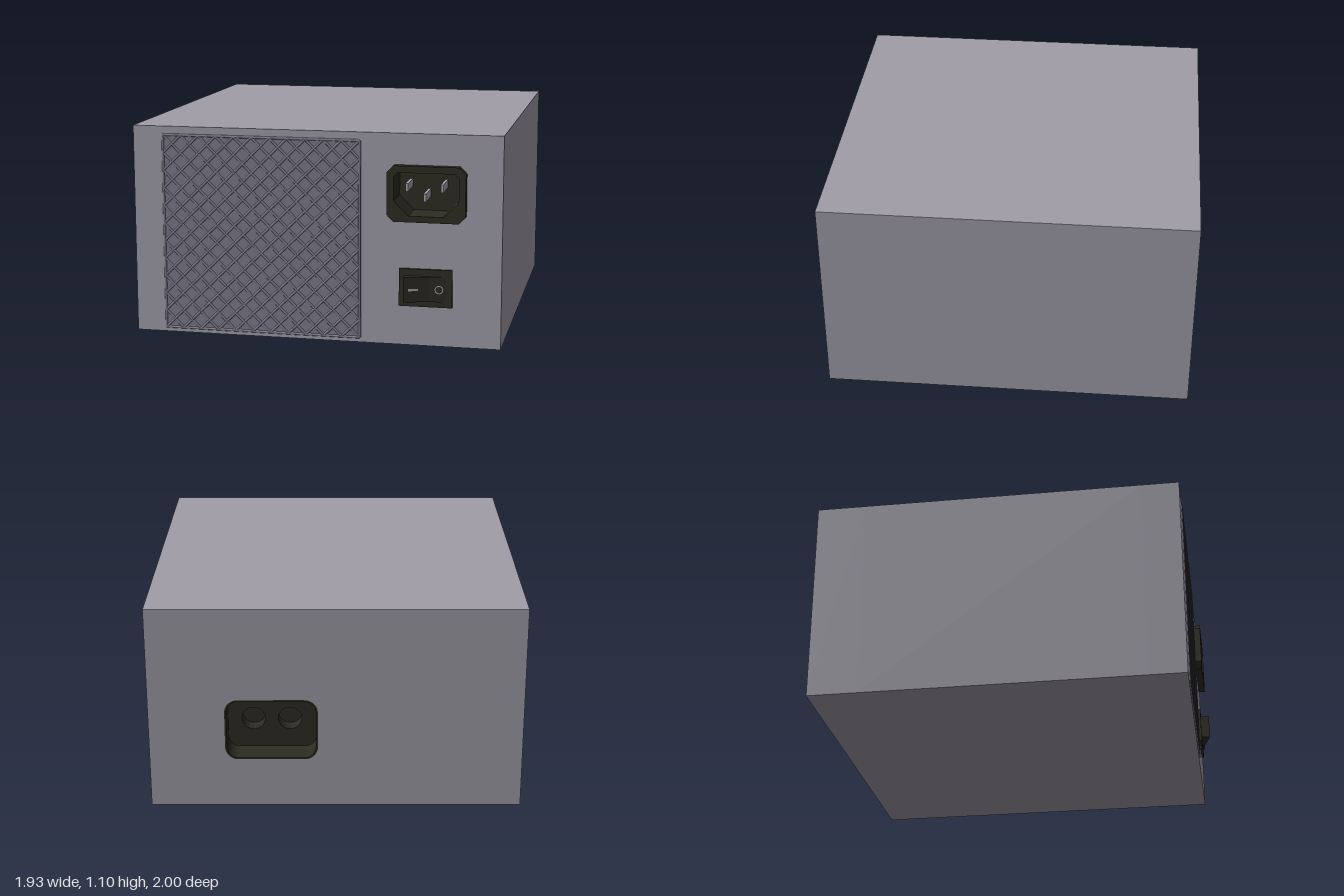
import * as THREE from 'three';

const material = (name, color) => {
  const m = new THREE.MeshStandardMaterial({ color });
  m.name = name;
  return m;
};

// Closed outline from [x, y] corners
const poly = (pts) => new THREE.Shape(pts.map(([x, y]) => new THREE.Vector2(x, y)));

// Rectangle with cut corners: t = top cut, b = bottom cut
const cutRect = (x0, x1, y0, y1, t = 0, b = t) =>
  t + b === 0
    ? poly([[x0, y0], [x1, y0], [x1, y1], [x0, y1]])
    : poly([[x0 + b, y0], [x1 - b, y0], [x1, y0 + b], [x1, y1 - t],
      [x1 - t, y1], [x0 + t, y1], [x0, y1 - t], [x0, y0 + b]]);

// Rectangle with round corners
const roundRect = (x0, x1, y0, y1, r) => {
  const s = new THREE.Shape();
  s.absarc(x1 - r, y0 + r, r, -Math.PI / 2, 0);
  s.absarc(x1 - r, y1 - r, r, 0, Math.PI / 2);
  s.absarc(x0 + r, y1 - r, r, Math.PI / 2, Math.PI);
  s.absarc(x0 + r, y0 + r, r, Math.PI, Math.PI * 1.5);
  s.closePath();
  return s;
};

// Slab from z0 to z1 with optional holes
const slab = (shape, z0, z1, holes = []) => {
  shape.holes = holes;
  return new THREE.ExtrudeGeometry(shape, {
    depth: z1 - z0, bevelEnabled: false, curveSegments: 8,
  }).translate(0, 0, z0);
};

export function createModel() {
  const root = new THREE.Group();
  root.name = 'powerSupply';
  const caseGrey = material('caseGrey', 0xa09da8);
  const grilleGrey = material('grilleGrey', 0x7d7b8c);
  const black = material('blackPlastic', 0x2d2c22);
  const metal = material('paleMetal', 0xaaa7b2);

  const add = (parent, name, geometry, mat) => {
    const m = new THREE.Mesh(geometry, mat);
    m.name = name;
    parent.add(m);
    return m;
  };
  const group = (name) => {
    const g = new THREE.Group();
    g.name = name;
    root.add(g);
    return g;
  };

  // Case: solid middle with pierced front and back panels
  const W = 0.965, H = 1.095, FRONT = 0.94;
  const body = group('case');
  const wall = () => cutRect(-W, W, 0, H);
  add(body, 'caseMiddle', slab(wall(), -0.74, 0.74), caseGrey);
  add(body, 'frontPanel', slab(wall(), 0.74, FRONT, [cutRect(0.4, 0.765, 0.665, 0.92, 0.025)]), caseGrey);
  add(body, 'backPanel', slab(wall(), -1, -0.74, [roundRect(0.093, 0.573, 0.265, 0.6, 0.07)]), caseGrey);

  // Fan grille: crossed diagonal wires over a thin backing plate
  const grille = group('grille');
  const gx0 = -0.805, gx1 = 0.235, gy0 = 0.025, gy1 = 1.05, cells = 11;
  add(grille, 'grilleBacking', slab(cutRect(gx0, gx1, gy0, gy1), FRONT, FRONT + 0.001), grilleGrey);
  const at = (u, v) => new THREE.Vector3(
    THREE.MathUtils.lerp(gx0, gx1, u), THREE.MathUtils.lerp(gy0, gy1, v), FRONT);
  const wire = (u0, v0, u1, v1) => {
    const a = at(u0, v0), b = at(u1, v1);
    const dir = b.clone().sub(a);
    const m = add(grille, 'grilleWire', new THREE.CylinderGeometry(0.007, 0.007, dir.length(), 8), grilleGrey);
    m.position.copy(a).add(b).multiplyScalar(0.5);
    m.quaternion.setFromUnitVectors(new THREE.Vector3(0, 1, 0), dir.normalize());
  };
  for (let k = 1 - cells; k < cells; k++) {
    const s = k / cells, lo = Math.max(0, s), hi = Math.min(1, 1 + s);
    wire(lo, lo - s, hi, hi - s);
    wire(lo, 1 - lo + s, hi, 1 - hi + s);
  }
  [[0, 0, 1, 0], [0, 1, 1, 1], [0, 0, 0, 1], [1, 0, 1, 1]].forEach((e) => wire(...e));

  // Mains inlet: chamfered frame, deep cavity and three blades
  const inlet = group('powerInlet');
  const inletOuter = () => cutRect(0.38, 0.783, 0.648, 0.935, 0.035);
  add(inlet, 'inletFrame', slab(inletOuter(), FRONT, 0.977,
    [cutRect(0.417, 0.747, 0.68, 0.9, 0.02, 0.075)]), black);
  add(inlet, 'inletCavity', slab(cutRect(0.4, 0.765, 0.665, 0.92, 0.025), 0.8, FRONT,
    [cutRect(0.417, 0.747, 0.68, 0.9, 0.02, 0.075)]), black);
  add(inlet, 'inletFloor', slab(cutRect(0.4, 0.765, 0.665, 0.92, 0.025), 0.79, 0.8), black);
  [[0.48, 0.822], [0.66, 0.822], [0.572, 0.772]].forEach(([x, y]) =>
    add(inlet, 'inletBlade', new THREE.BoxGeometry(0.014, 0.04, 0.16).translate(x, y, 0.875), metal));

  // Rocker switch: bezel, angled rocker and position marks
  const sw = group('powerSwitch');
  add(sw, 'switchBezel', slab(cutRect(0.442, 0.716, 0.207, 0.403), FRONT, 0.953,
    [cutRect(0.468, 0.685, 0.238, 0.367)]), black);
  const rocker = slab(poly([[0.468, 0.93], [0.685, 0.93], [0.685, 0.957], [0.6, 0.967], [0.472, 1]]), 0, 0.129);
  add(sw, 'rocker', rocker.rotateX(Math.PI / 2).translate(0, 0.367, 0), black);
  const onMark = add(sw, 'onMark', new THREE.BoxGeometry(0.05, 0.012, 0.002), metal);
  onMark.position.set(0.522, 0.302, 0.9875);
  onMark.rotation.y = 0.252;
  const offMark = add(sw, 'offMark', new THREE.RingGeometry(0.017, 0.022, 20), metal);
  offMark.position.set(0.65, 0.302, 0.9625);
  offMark.rotation.y = 0.117;

  // Cable outlet: rounded recess with two round cable holes in its floor
  const outlet = group('cableOutlet');
  const outletOuter = () => roundRect(0.093, 0.573, 0.265, 0.6, 0.07);
  add(outlet, 'outletLining', slab(outletOuter(), -1, -0.86, [roundRect(0.103, 0.563, 0.275, 0.59, 0.06)]), black);
  const cableX = [0.24, 0.43];
  const circles = cableX.map((x) => new THREE.Path().absarc(x, 0.435, 0.062, 0, Math.PI * 2));
  add(outlet, 'outletFloor', slab(outletOuter(), -0.86, -0.78, circles), black);
  add(outlet, 'outletEnd', slab(outletOuter(), -0.78, -0.77), black);

  return root;
}
